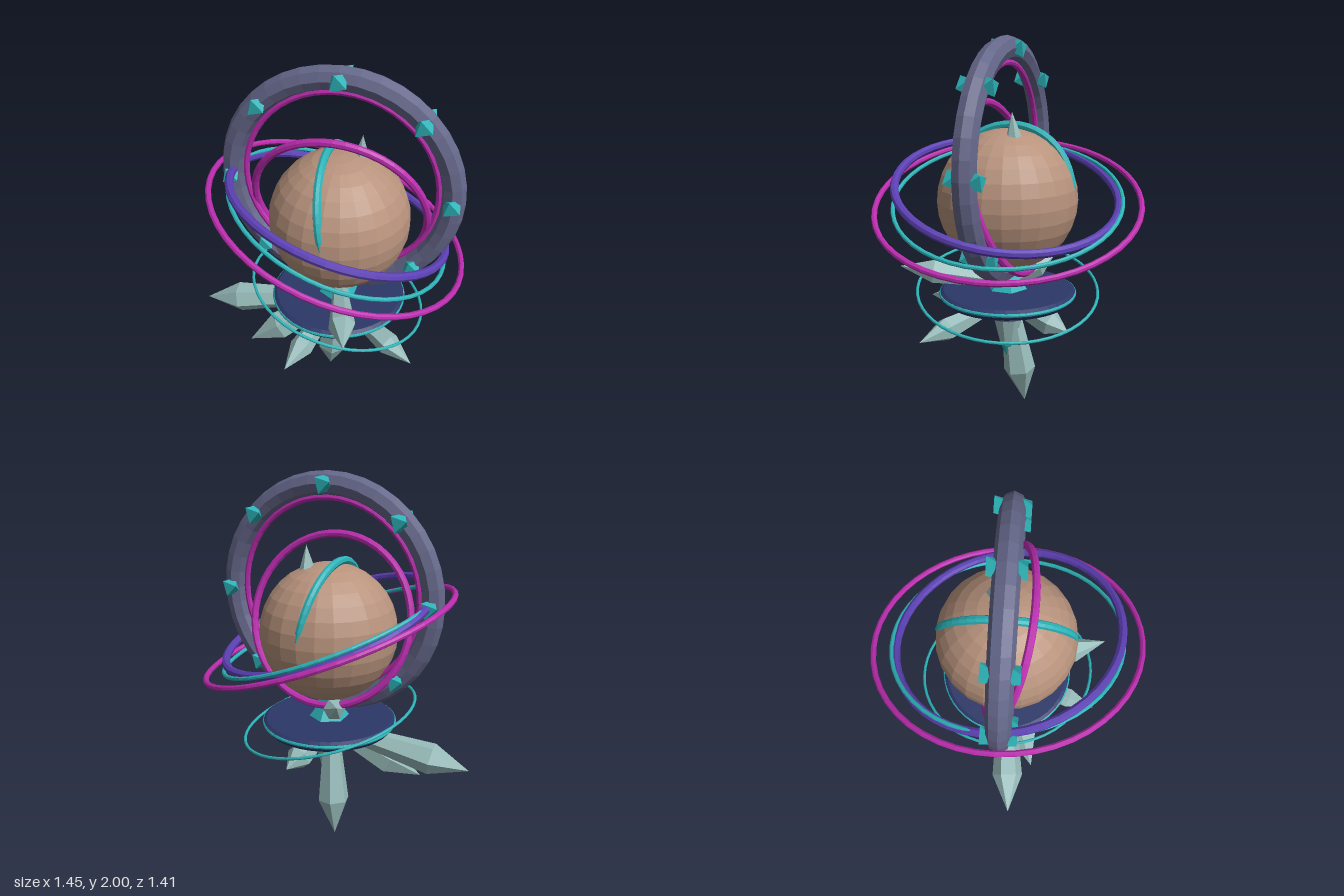
import * as THREE from 'three';

const UP = new THREE.Vector3(0, 1, 0);
const CX = 0.055; // shared vertical axis of globe, rings and base

function material(name, color) {
  const m = new THREE.MeshStandardMaterial({ color, flatShading: true });
  m.name = name;
  return m;
}

export function createModel() {
  const group = new THREE.Group();
  const slate = material('slate', 0x65678a);
  const teal = material('teal', 0x2cb3b8);
  const magenta = material('magenta', 0xba2cae);
  const violet = material('violet', 0x5c40b4);
  const clay = material('clay', 0xb8937d);
  const crystalMat = material('pale crystal', 0x97bcba);
  const navy = material('navy', 0x2b3768);

  function add(name, geometry, mat, x = 0, y = 0, z = 0) {
    const mesh = new THREE.Mesh(geometry, mat);
    mesh.name = name;
    mesh.position.set(x, y, z);
    group.add(mesh);
    return mesh;
  }

  // A ring around the axis whose plane is perpendicular to the given normal
  function ring(name, mat, y, radius, tube, normal, sides = 8, segments = 48) {
    const geo = new THREE.TorusGeometry(radius, tube, sides, segments).rotateX(Math.PI / 2);
    const mesh = add(name, geo, mat, CX, y, 0);
    mesh.quaternion.setFromUnitVectors(UP, new THREE.Vector3(...normal).normalize());
  }

  // A six-sided crystal: slim root, widest near the far end, pointed tip
  function crystal(name, from, to, radius, widest = 0.7, root = 0.45) {
    const a = new THREE.Vector3(...from);
    const dir = new THREE.Vector3(...to).sub(a);
    const len = dir.length();
    const profile = [[0, 0], [radius * root, 0], [radius, len * widest], [0, len]]
      .map(([r, h]) => new THREE.Vector2(r, h));
    const mesh = add(name, new THREE.LatheGeometry(profile, 6), crystalMat, ...from);
    mesh.quaternion.setFromUnitVectors(UP, dir.normalize());
  }

  // Globe
  add('globe', new THREE.SphereGeometry(0.367, 24, 16), clay, CX, 1.178, 0);
  crystal('globeSpike', [0.135, 1.36, -0.075], [0.152, 1.637, -0.058], 0.05, 0.45, 0.9);

  // Band half sunk into the globe
  ring('globeBand', teal, 1.22, 0.343, 0.021, [Math.cos(0.19), Math.sin(0.19), 0]);

  // Upright frame with its inner lining
  ring('frameRing', slate, 1.373, 0.567, 0.06, [0, 0, 1], 8, 40);
  ring('frameLining', magenta, 1.373, 0.498, 0.016, [0, 0, 1]);

  // Gems on both faces of the frame, one triangular face turned outward
  const faceOut = new THREE.Quaternion().setFromUnitVectors(
    new THREE.Vector3(1, 1, 1).normalize(), new THREE.Vector3(0, 0, 1));
  for (let i = 0; i < 8; i++) {
    const a = (i * Math.PI) / 4;
    for (const side of [1, -1]) {
      const gem = add('frameGem', new THREE.OctahedronGeometry(0.058), teal,
        CX + 0.565 * Math.cos(a), 1.373 + 0.565 * Math.sin(a), side * 0.053);
      gem.quaternion.copy(faceOut);
    }
  }

  // Tilted orbit rings
  ring('tiltedRing', magenta, 1.24, 0.453, 0.02, [0, -0.287, 0.958]);
  ring('violetOrbit', violet, 1.232, 0.58, 0.022, [0.29, 1, -0.2]);
  ring('tealOrbit', teal, 1.185, 0.595, 0.011, [0.37, 1, -0.09]);
  ring('magentaOrbit', magenta, 1.17, 0.69, 0.015, [0.347, 1, -0.08]);
  ring('lowerOrbit', teal, 0.695, 0.483, 0.008, [0.237, 1, -0.1]);

  // Base disc with bright rim
  const disc = [[0, 0.605], [0.25, 0.605], [0.345, 0.64], [0.362, 0.66], [0.362, 0.682], [0.345, 0.694], [0, 0.694]]
    .map(([r, y]) => new THREE.Vector2(r, y));
  add('baseDisc', new THREE.LatheGeometry(disc, 40), navy, CX, 0, 0);
  ring('baseRim', teal, 0.672, 0.358, 0.011, [0, 1, 0]);

  // Collar, tapering stem and gem ends
  add('collar', new THREE.CylinderGeometry(0.105, 0.088, 0.09, 16), slate, CX, 0.57, 0);
  add('stem', new THREE.CylinderGeometry(0.085, 0.043, 0.17, 8), crystalMat, CX, 0.455, 0);
  add('stemTip', new THREE.ConeGeometry(0.043, 0.09, 8).rotateX(Math.PI), teal, CX, 0.325, 0);
  add('coreGem', new THREE.ConeGeometry(0.12, 0.16, 6), teal, CX, 0.76, 0);

  // Crystal cluster
  crystal('mainCrystal', [0.04, 0.6, -0.005], [-0.013, 0, -0.077], 0.088, 0.66, 0.5);
  crystal('longCrystal', [0.02, 0.625, 0], [-0.73, 0.495, 0.06], 0.085, 0.73);
  crystal('lowCrystal', [0.02, 0.61, 0.01], [-0.425, 0.34, 0.18], 0.09, 0.62, 0.5);
  crystal('frontCrystal', [0.045, 0.62, 0.01], [-0.094, 0.535, 0.525], 0.062);
  crystal('raisedCrystal', [0.06, 0.725, 0], [0.225, 0.805, 0.553], 0.07, 0.68, 0.5);
  crystal('sideCrystal', [0.07, 0.62, 0.02], [0.53, 0.525, 0.295], 0.062);
  crystal('backCrystal', [0.06, 0.62, 0], [0.13, 0.51, -0.36], 0.07, 0.72, 0.5);
  crystal('upperBackCrystal', [0.05, 0.72, 0], [-0.09, 0.84, -0.21], 0.058, 0.65, 0.6);

  return group;
}
